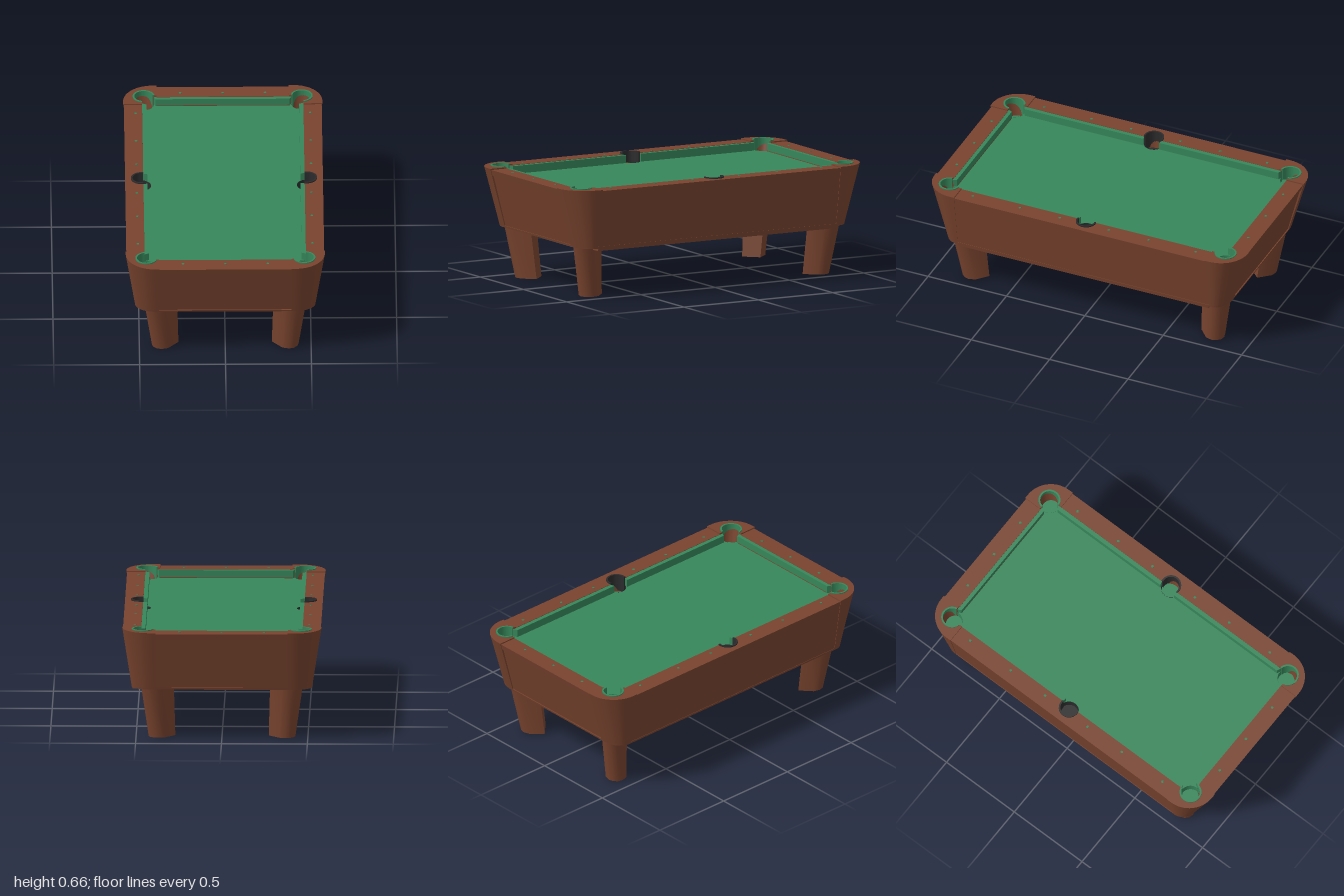
import * as THREE from 'three';
import { toCreasedNormals } from 'three/addons/utils/BufferGeometryUtils.js';

const material = (name, color, side = THREE.FrontSide) => {
  const m = new THREE.MeshStandardMaterial({ color, side });
  m.name = name;
  return m;
};

// points along a circular arc in plan (x, z)
const arc = (cx, cz, r, a0, a1, n = 20) => Array.from({ length: n + 1 }, (_, i) => {
  const a = a0 + (a1 - a0) * i / n;
  return [cx + r * Math.cos(a), cz + r * Math.sin(a)];
});
const mirror = (pts, sx, sz) => pts.map(([x, z]) => [x * sx, z * sz]);
const rect = (x0, z0, x1, z1) => [[x0, z0], [x1, z0], [x1, z1], [x0, z1]];

// the apron leans in towards the floor, outside the four corner joints
const lean = (v) => {
  const t = (v.y - 0.3) / 0.355;
  const pull = (c, joint, f) => Math.abs(c) <= joint ? c
    : Math.sign(c) * (joint + (Math.abs(c) - joint) * (f + (1 - f) * t));
  v.x = pull(v.x, 0.385, 0.718);
  v.z = pull(v.z, 0.8, 0.5);
};

export function createModel() {
  const table = new THREE.Group();
  table.name = 'poolTable';
  const wood = material('brown wood', 0x78432e);
  const cloth = material('green cloth', 0x36865a, THREE.DoubleSide);
  const dark = material('black pocket', 0x2b2b2d, THREE.DoubleSide);

  const add = (name, geometry, mat) => {
    const mesh = new THREE.Mesh(geometry, mat);
    mesh.name = name;
    table.add(mesh);
    return mesh;
  };

  // plan outline raised from y0 to y1, with an optional rule for its vertices
  const slab = (name, pts, y0, y1, mat, rule) => {
    const shape = new THREE.Shape(pts.map(([x, z]) => new THREE.Vector2(x, z)));
    const g = new THREE.ExtrudeGeometry(shape, { depth: y1 - y0, bevelEnabled: false });
    g.rotateX(Math.PI / 2).translate(0, y1, 0);
    if (rule) {
      const p = g.attributes.position, v = new THREE.Vector3();
      for (let i = 0; i < p.count; i++) {
        rule(v.fromBufferAttribute(p, i));
        p.setXYZ(i, v.x, v.y, v.z);
      }
    }
    return add(name, toCreasedNormals(g, 0.6), mat);
  };

  // pocket positions and the angles where their mouths meet the rails
  const corner = [0.46, 0.88, 0.06], side = [0.482, 0, 0.058];
  const c0 = -1.403, c1 = 2.974, s0 = 1.78;
  const outerCurve = arc(0.41, 0.83, 0.17, Math.PI / 2, 0, 14);

  // bed, bitten by six pockets
  const quarter = [
    ...arc(...side, Math.PI, s0, 8),
    ...arc(...corner, c0, c1 - 2 * Math.PI, 16),
  ];
  const bed = [[1, 1], [-1, 1], [-1, -1], [1, -1]].flatMap(([sx, sz], i) => {
    const q = mirror(quarter, sx, sz);
    return i % 2 ? q.reverse() : q;
  });
  slab('bed', bed, 0.58, 0.6, cloth);

  // underside panel
  const edge = [[0.385, 1], ...outerCurve, [0.58, 0.8]];
  const base = [[1, 1], [1, -1], [-1, -1], [-1, 1]].flatMap(([sx, sz], i) => {
    const q = mirror(edge, sx, sz);
    return i % 2 ? q.reverse() : q;
  });
  slab('underside', base, 0.3, 0.312, wood, lean);

  // corner castings, corner pockets and legs
  const cap = [...edge, [0.47, 0.8], ...arc(...corner, c0, c1), [0.385, 0.89]];
  const cornerRim = [
    ...arc(0.46, 0.88, 0.064, c0, c1, 28),
    ...arc(0.46, 0.88, 0.054, c1, c0, 28),
  ];
  const d = Math.SQRT1_2;
  const legPlan = [[-0.06, -0.055], [0.03, -0.06], [0.065, -0.04], [0.08, -0.015],
    [0.08, 0.015], [0.065, 0.04], [0.03, 0.06], [-0.06, 0.055]]
    .map(([u, v]) => [0.353 + (u - v) * d, 0.757 + (u + v) * d]);

  const cup = (name, x, z, r, mat, floorMat) => {
    add(name + 'Cup', new THREE.CylinderGeometry(r, r, 0.06, 32, 1, true), mat).position.set(x, 0.57, z);
    add(name + 'Floor', new THREE.CircleGeometry(r, 32).rotateX(-Math.PI / 2), floorMat).position.set(x, 0.545, z);
  };

  for (const sx of [1, -1]) for (const sz of [1, -1]) {
    slab('cornerCasting', mirror(cap, sx, sz), 0.3, 0.655, wood, lean);
    slab('cornerPocketLiner', mirror(cornerRim, sx, sz), 0.55, 0.66, cloth);
    cup('cornerPocket', sx * 0.46, sz * 0.88, 0.059, cloth, cloth);
    slab('leg', mirror(legPlan, sx, sz), 0, 0.302, wood, (v) => {
      const t = v.y / 0.3, k = 1 + 0.22 * t;
      v.x = sx * (0.353 + 0.026 * t) + (v.x - sx * 0.353) * k;
      v.z = sz * (0.757 + 0.036 * t) + (v.z - sz * 0.757) * k;
    });
    // long cushions, split at the side pockets
    slab('longCushion', mirror([[0.445, 0.05], [0.472, 0.057], [0.472, 0.822], [0.445, 0.81]], sx, sz),
      0.598, 0.646, cloth);
  }

  // long aprons with rails, and side pockets
  const longRail = [[0.47, -0.8], [0.577, -0.8], [0.577, 0.8], [0.47, 0.8], ...arc(...side, s0, -s0)];
  const sideRim = [...arc(0.482, 0, 0.06, -s0, s0), ...arc(0.482, 0, 0.05, s0, -s0)];
  for (const sx of [1, -1]) {
    slab('longApron', mirror(longRail, sx, 1), sx > 0 ? 0.285 : 0.3, 0.648, wood, lean);
    slab('sidePocketLiner', mirror(sideRim, sx, 1), 0.55, 0.655, dark);
    cup('sidePocket', sx * 0.482, 0, 0.057, dark, sx > 0 ? cloth : dark);
  }

  // short aprons, rails and cushions
  for (const sz of [1, -1]) {
    slab('shortApron', mirror(rect(-0.385, 0.87, 0.385, 0.988), 1, sz), 0.3, 0.612, wood, lean);
    slab('shortRail', mirror(rect(-0.386, 0.888, 0.386, 0.996), 1, sz), 0.612, 0.648, wood, lean);
    slab('shortCushion', mirror([[-0.39, 0.865], [0.39, 0.865], [0.402, 0.892], [-0.402, 0.892]], 1, sz),
      0.598, 0.646, cloth);
  }

  // sight markers on the rails
  const marker = (x, z) => add('sightMarker', new THREE.CylinderGeometry(0.008, 0.008, 0.004, 8), cloth)
    .position.set(x, 0.6475, z);
  for (const s of [1, -1]) {
    for (const z of [-0.71, -0.41, -0.157, 0.157, 0.41, 0.71]) marker(s * 0.508, z);
    for (const x of [-0.247, 0, 0.247]) marker(x, s * 0.93);
  }
  return table;
}
